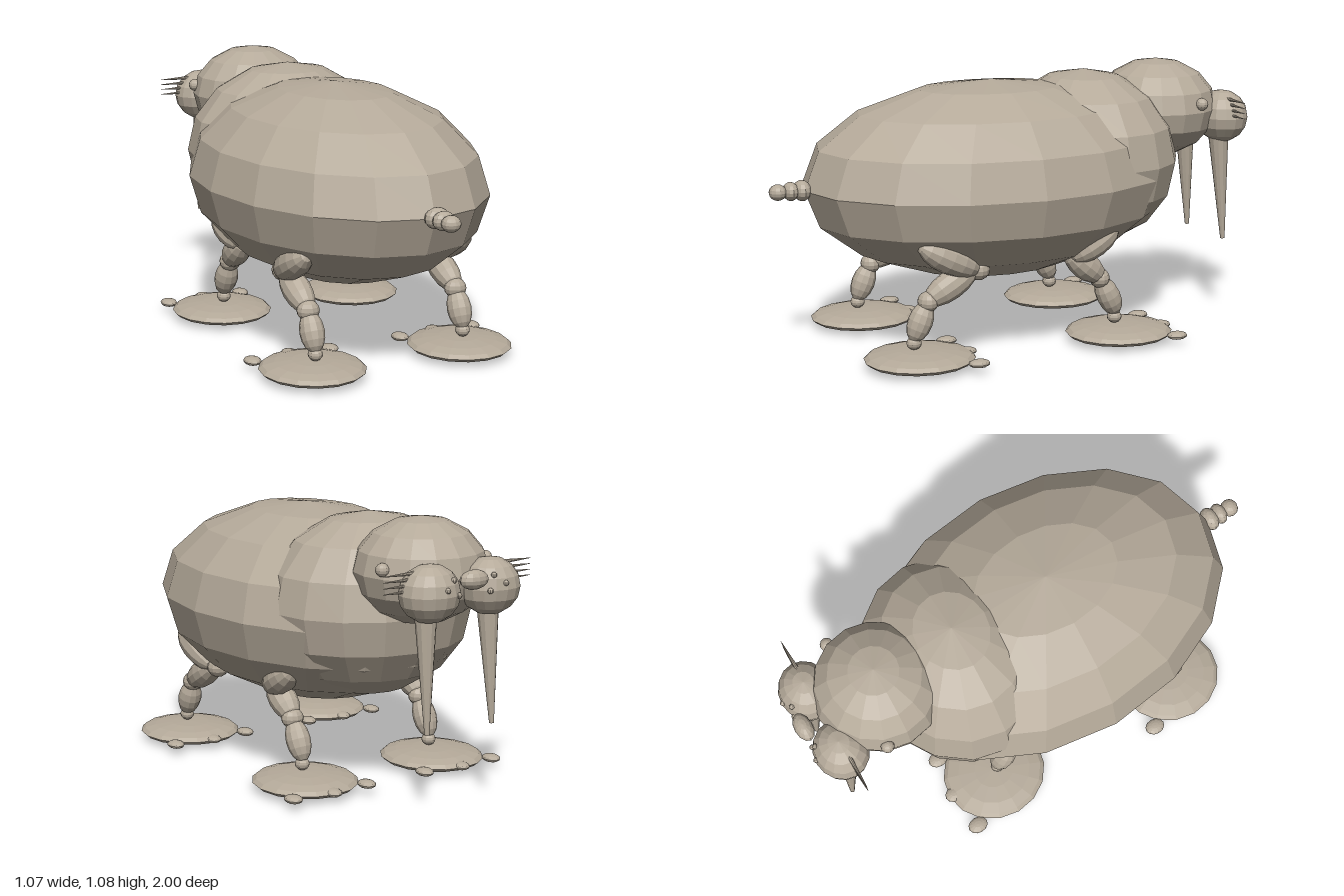
import * as THREE from 'three';

const hide = new THREE.MeshStandardMaterial({ color: 0xb5aa9a });
hide.name = 'hide';

// Faceted mesh: unshared corners give flat normals
function faceted(name, geometry, parent) {
  const flat = geometry.toNonIndexed();
  flat.computeVertexNormals();
  const mesh = new THREE.Mesh(flat, hide);
  mesh.name = name;
  parent.add(mesh);
  return mesh;
}

function ellipsoid(name, parent, [x, y, z], [rx, ry, rz], w = 16, h = 8) {
  const g = new THREE.SphereGeometry(1, w, h).scale(rx, ry, rz);
  const mesh = faceted(name, g, parent);
  mesh.position.set(x, y, z);
  return mesh;
}

function aim(mesh, a, b) {
  const dir = new THREE.Vector3().subVectors(b, a).normalize();
  mesh.position.copy(a).add(b).multiplyScalar(0.5);
  mesh.quaternion.setFromUnitVectors(new THREE.Vector3(0, 1, 0), dir);
}

// Ellipsoid stretched between two points
function limb(name, parent, from, to, r) {
  const a = new THREE.Vector3(...from), b = new THREE.Vector3(...to);
  const mesh = ellipsoid(name, parent, [0, 0, 0], [r, a.distanceTo(b) / 2, r], 12, 8);
  aim(mesh, a, b);
}

// Tapered rod between two points
function spike(name, parent, from, to, r0, r1, sides) {
  const a = new THREE.Vector3(...from), b = new THREE.Vector3(...to);
  const g = new THREE.CylinderGeometry(r1, r0, a.distanceTo(b), sides);
  aim(faceted(name, g, parent), a, b);
}

// Leg: joints are given in x, y, z; s mirrors across x
function leg(name, parent, s, cfg) {
  const group = new THREE.Group();
  group.name = name;
  parent.add(group);
  const { x, thigh, thighX, knee, upper, ankle, lower, heel, footZ } = cfg;
  const at = ([y, z], px = x) => [s * px, y, z];
  limb('thigh', group, at(thigh[0], thighX), at(thigh[1], thighX), 0.06);
  ellipsoid('knee', group, at(knee), [0.045, 0.042, 0.045], 12, 8);
  limb('upperShin', group, at(upper[0]), at(upper[1]), 0.056);
  ellipsoid('shinJoint', group, at(ankle), [0.045, 0.04, 0.04], 12, 8);
  limb('lowerShin', group, at(lower[0]), at(lower[1]), 0.048);
  ellipsoid('ankle', group, at(heel), [0.028, 0.025, 0.03], 12, 8);
  ellipsoid('foot', group, at([0.04, footZ]), [0.202, 0.036, 0.215]);
  // Three toes on the forward rim
  for (const [dx, dz] of [[-0.165, -0.175], [0, -0.19], [0.165, -0.175]]) {
    ellipsoid('toe', group, [s * x + dx, 0.042, footZ + dz], [0.033, 0.016, 0.042], 12, 8);
  }
}

export function createModel() {
  const model = new THREE.Group();
  model.name = 'walrus';

  // Trunk and head
  ellipsoid('body', model, [0, 0.65, 0.09], [0.535, 0.387, 0.77]);
  ellipsoid('chest', model, [0, 0.7, -0.32], [0.42, 0.355, 0.37]);
  ellipsoid('head', model, [0, 0.88, -0.65], [0.255, 0.2, 0.25]);
  ellipsoid('nose', model, [0, 0.893, -0.965], [0.06, 0.036, 0.035], 12, 8);

  // Tail beads, shrinking backwards
  [[0.87, 0.05, 0.04, 0.035], [0.915, 0.045, 0.036, 0.03], [0.965, 0.037, 0.031, 0.035]].forEach(
    ([z, rx, ry, rz]) => ellipsoid('tail', model, [0, 0.655, z], [rx, ry, rz], 12, 8));

  for (const s of [-1, 1]) {
    // Face
    ellipsoid('muzzle', model, [s * 0.135, 0.845, -0.885], [0.118, 0.107, 0.105]);
    ellipsoid('eye', model, [s * 0.233, 0.915, -0.735], [0.026, 0.025, 0.026], 12, 8);
    spike('tusk', model, [s * 0.14, 0.78, -0.87], [s * 0.148, 0.33, -0.898], 0.042, 0.009, 12);
    for (let i = 0; i < 4; i++) {
      const y = 0.86 + i * 0.021;
      spike('whisker', model, [s * 0.17, y, -0.877], [s * 0.33, y, -0.877], 0.01, 0.001, 8);
    }
    for (const [x, y, z] of [[0.09, 0.9, -0.965], [0.07, 0.845, -0.972], [0.13, 0.87, -0.985]]) {
      ellipsoid('whiskerBump', model, [s * x, y, z], [0.011, 0.011, 0.011], 8, 6);
    }

    // Legs
    const side = s > 0 ? 'left' : 'right';
    leg(side + 'HindLeg', model, s, {
      x: 0.322, thighX: 0.345, footZ: 0.522,
      thigh: [[0.48, 0.53], [0.36, 0.29]], knee: [0.36, 0.28],
      upper: [[0.37, 0.29], [0.25, 0.5]], ankle: [0.255, 0.487],
      lower: [[0.255, 0.488], [0.105, 0.55]], heel: [0.1, 0.545],
    });
    leg(side + 'ForeLeg', model, s, {
      x: 0.302, thighX: 0.328, footZ: -0.335,
      thigh: [[0.48, -0.31], [0.36, -0.11]], knee: [0.36, -0.14],
      upper: [[0.39, -0.1], [0.26, -0.26]], ankle: [0.265, -0.247],
      lower: [[0.265, -0.25], [0.11, -0.325]], heel: [0.1, -0.315],
    });
  }
  return model;
}
